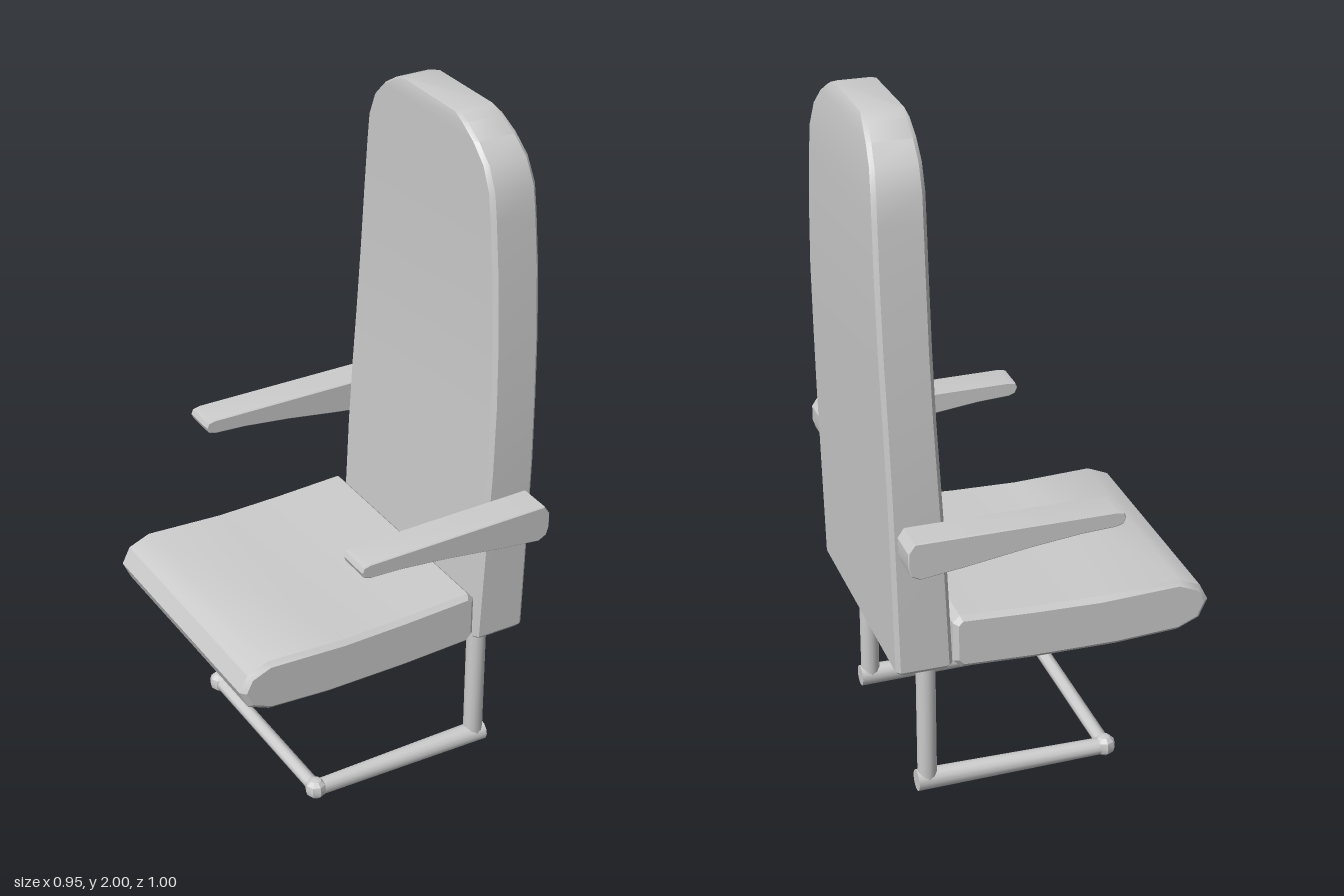
import * as THREE from 'three';
import { toCreasedNormals } from 'three/addons/utils/BufferGeometryUtils.js';

const material = new THREE.MeshStandardMaterial({ color: 0xcccccc });

function addMesh(parent, name, geometry) {
  const mesh = new THREE.Mesh(geometry, material);
  mesh.name = name;
  parent.add(mesh);
  return mesh;
}

// Side profile in x and y, extruded from z0 to z1 with a small bevel inside the outline
function extrudeProfile(points, z0, z1, bevel) {
  const shape = new THREE.Shape(points.map(([x, y]) => new THREE.Vector2(x, y)));
  const geometry = new THREE.ExtrudeGeometry(shape, {
    depth: z1 - z0 - 2 * bevel,
    bevelEnabled: bevel > 0,
    bevelThickness: bevel,
    bevelSize: bevel,
    bevelOffset: -bevel,
    bevelSegments: 1,
  });
  geometry.translate(0, 0, z0 + bevel);
  return toCreasedNormals(geometry, 0.5);
}

// Joins horizontal rings (counter-clockwise seen from above) and caps both ends
function loft(rings) {
  const n = rings[0].length;
  const index = [];
  for (let r = 0; r < rings.length - 1; r++) {
    for (let i = 0; i < n; i++) {
      const a = r * n + i, b = r * n + (i + 1) % n;
      index.push(a, b, b + n, a, b + n, a + n);
    }
  }
  const top = (rings.length - 1) * n;
  for (let i = 1; i < n - 1; i++) {
    index.push(0, i + 1, i);
    index.push(top, top + i, top + i + 1);
  }
  const geometry = new THREE.BufferGeometry();
  geometry.setAttribute('position', new THREE.Float32BufferAttribute(rings.flat(2), 3));
  geometry.setIndex(index);
  return toCreasedNormals(geometry, 0.5);
}

// Straight tube between two points
function addBar(parent, name, from, to, r0, r1 = r0) {
  const a = new THREE.Vector3(...from), b = new THREE.Vector3(...to);
  const dir = b.clone().sub(a);
  const geometry = toCreasedNormals(new THREE.CylinderGeometry(r1, r0, dir.length(), 12), 0.7);
  const bar = addMesh(parent, name, geometry);
  bar.position.copy(a).add(b).multiplyScalar(0.5);
  bar.quaternion.setFromUnitVectors(new THREE.Vector3(0, 1, 0), dir.normalize());
}

export function createModel() {
  const model = new THREE.Group();
  model.name = 'chair';

  // Seat cushion with a rounded front edge and slightly dished top
  addMesh(model, 'seat', extrudeProfile([
    [-0.48, 0.52], [-0.455, 0.465], [-0.39, 0.437], [-0.2, 0.426], [0.05, 0.428], [0.262, 0.437],
    [0.285, 0.46], [0.285, 0.58], [0.265, 0.602], [0.05, 0.592], [-0.15, 0.587], [-0.39, 0.597],
    [-0.455, 0.57],
  ], -0.395, 0.38, 0.014));

  // Backrest: each row is height, front x, back x, half width
  const rows = [
    [0.437, 0.295, 0.44, 0.375],
    [0.45, 0.285, 0.45, 0.386],
    [0.8, 0.3, 0.458, 0.387],
    [1.0, 0.311, 0.463, 0.386],
    [1.2, 0.32, 0.468, 0.378],
    [1.4, 0.325, 0.473, 0.366],
    [1.6, 0.326, 0.474, 0.35],
    [1.75, 0.325, 0.472, 0.334],
    [1.83, 0.324, 0.47, 0.323],
    [1.9, 0.323, 0.464, 0.292],
    [1.95, 0.322, 0.457, 0.24],
    [1.985, 0.322, 0.45, 0.183],
    [2.0, 0.325, 0.443, 0.143],
  ];
  const c = 0.012;
  addMesh(model, 'backrest', loft(rows.map(([y, f, b, w]) => [
    [b, y, w - c], [b, y, -w + c], [b - c, y, -w], [f + c, y, -w],
    [f, y, -w + c], [f, y, w - c], [f + c, y, w], [b - c, y, w],
  ])));

  // Armrests, tapering towards the front; the left one is turned slightly outwards
  const armProfile = [
    [-0.178, 0.893], [-0.17, 0.875], [-0.15, 0.868], [-0.05, 0.863], [0.1, 0.846], [0.28, 0.819],
    [0.41, 0.802], [0.435, 0.815], [0.443, 0.84], [0.443, 0.885], [0.425, 0.912], [-0.15, 0.913],
    [-0.172, 0.908],
  ];
  addMesh(model, 'rightArmrest', extrudeProfile(armProfile, -0.5, -0.396, 0.003));
  const leftArm = extrudeProfile(armProfile, 0.384, 0.488, 0.003);
  const p = leftArm.attributes.position;
  for (let i = 0; i < p.count; i++) {
    const t = (0.443 - p.getX(i)) / 0.621;
    p.setZ(i, p.getZ(i) + 0.012 * t);
    p.setX(i, p.getX(i) + 0.009);
  }
  addMesh(model, 'leftArmrest', toCreasedNormals(leftArm, 0.5));

  // Tubular base: two posts, two floor rails and one front crossbar
  const base = new THREE.Group();
  base.name = 'base';
  model.add(base);
  for (const [side, z] of [['left', 0.303], ['right', -0.303]]) {
    addBar(base, side + 'Post', [0.343, 0.04, z], [0.343, 0.46, z], 0.029);
    addBar(base, side + 'Rail', [0.375, 0.032, z], [-0.2, 0.032, z], 0.032, 0.025);
    const joint = addMesh(base, side + 'Joint', toCreasedNormals(new THREE.SphereGeometry(0.033, 8, 6), 0.5));
    joint.position.set(-0.203, 0.034, z);
  }
  addBar(base, 'frontCrossbar', [-0.203, 0.034, -0.303], [-0.203, 0.034, 0.303], 0.021);

  return model;
}
